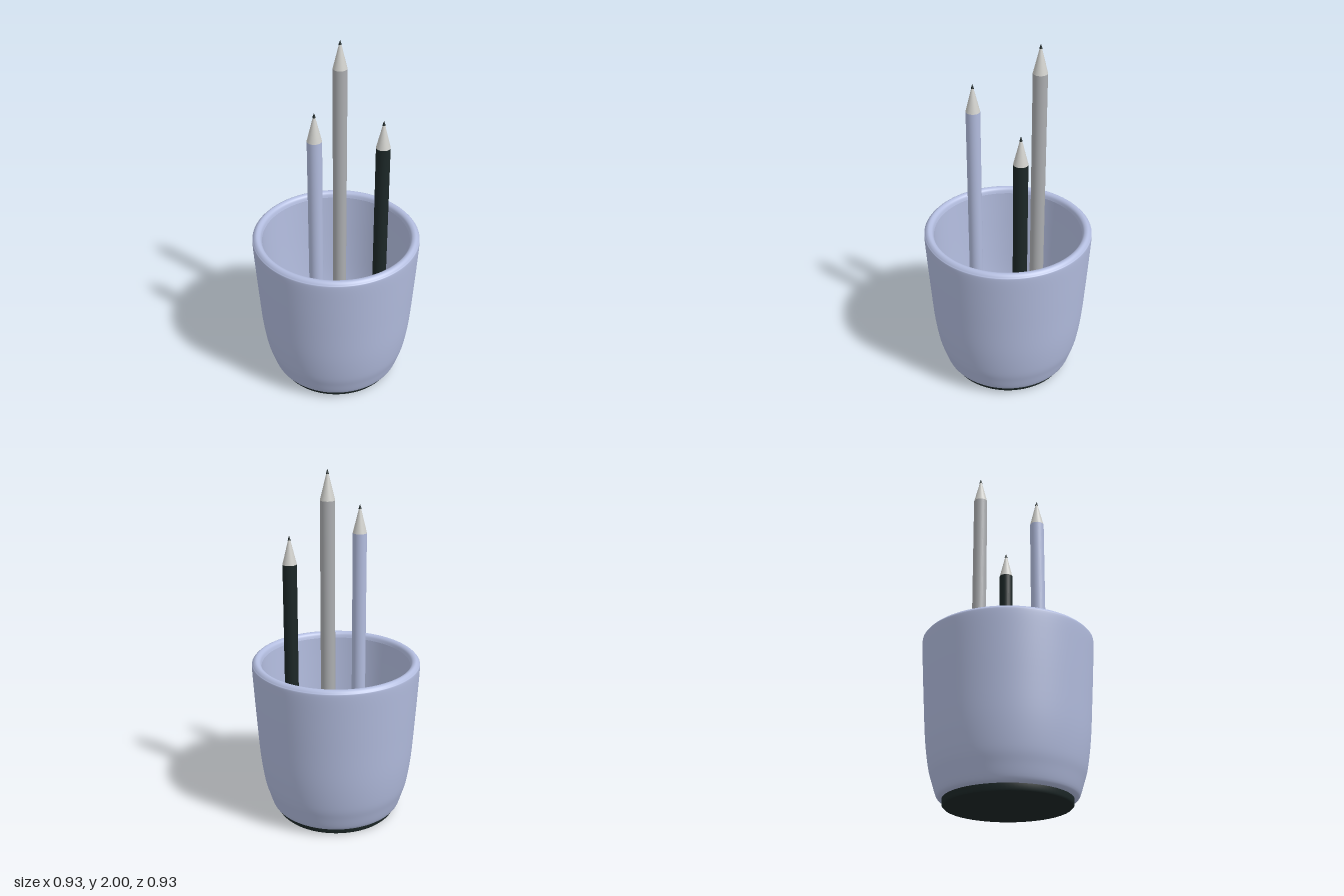
import * as THREE from 'three';

const mat = (name, color) => {
  const m = new THREE.MeshStandardMaterial({ color });
  m.name = name;
  return m;
};

export function createModel() {
  const group = new THREE.Group();
  const blue = mat('periwinkle', 0xb2bcde);
  const dark = mat('charcoal', 0x1c2727);
  const grey = mat('grey', 0xabadb0);
  const wood = mat('paleWood', 0xd0d0cc);

  const add = (parent, name, geometry, material, y = 0) => {
    const mesh = new THREE.Mesh(geometry, material);
    mesh.name = name;
    mesh.position.y = y;
    parent.add(mesh);
    return mesh;
  };
  // Lathe from [radius, height] pairs, listed from the bottom outwards and up
  const lathe = (points) =>
    new THREE.LatheGeometry(points.map(([r, y]) => new THREE.Vector2(r, y)), 96);
  const smooth = (points, n) =>
    new THREE.SplineCurve(points.map(([r, y]) => new THREE.Vector2(r, y)))
      .getPoints(n).map((p) => [p.x, p.y]);

  // Cup: curved outer wall, rounded lip, inner wall and floor
  const cup = new THREE.Group();
  cup.name = 'cup';
  group.add(cup);
  add(cup, 'cupOuterWall', lathe([[0, 0.035], [0.335, 0.035], ...smooth([
    [0.345, 0.036], [0.367, 0.052], [0.39, 0.12], [0.412, 0.2], [0.433, 0.35],
    [0.448, 0.56], [0.46, 0.75], [0.467, 0.885], [0.462, 0.908], [0.447, 0.921],
    [0.432, 0.92], [0.42, 0.91], [0.413, 0.89],
  ], 60)]), blue);
  add(cup, 'cupInnerWall', lathe([...smooth([
    [0.413, 0.89], [0.406, 0.75], [0.395, 0.55], [0.38, 0.35],
    [0.36, 0.22], [0.335, 0.14], [0.29, 0.095], [0.24, 0.085],
  ], 40), [0, 0.085]]), blue);

  // Dark foot pad
  add(group, 'footPad', lathe([[0, 0], [0.33, 0], [0.33, 0], [0.338, 0.008],
    [0.338, 0.036], [0.338, 0.036], [0, 0.036]]), dark);

  // Pencils standing on the cup floor
  const radius = 0.039, floor = 0.085, cone = 0.158, lead = 0.026;
  const pencils = [
    ['bluePencil', -0.187, 0.067, 1.755, blue],
    ['greyPencil', 0.115, -0.117, 2.0, grey],
    ['darkPencil', 0.208, 0.138, 1.615, dark],
  ];
  for (const [name, x, z, top, colour] of pencils) {
    const pencil = new THREE.Group();
    pencil.name = name;
    pencil.position.set(x, 0, z);
    group.add(pencil);
    const shoulder = top - cone, leadRadius = radius * lead / cone;
    add(pencil, 'shaft', new THREE.CylinderGeometry(radius, radius, shoulder - floor, 32),
      colour, (shoulder + floor) / 2);
    add(pencil, 'sharpenedWood', new THREE.CylinderGeometry(leadRadius, radius, cone - lead, 32, 1, true),
      wood, shoulder + (cone - lead) / 2);
    add(pencil, 'leadTip', new THREE.ConeGeometry(leadRadius + 0.002, lead, 24), dark, top - lead / 2);
  }
  return group;
}
